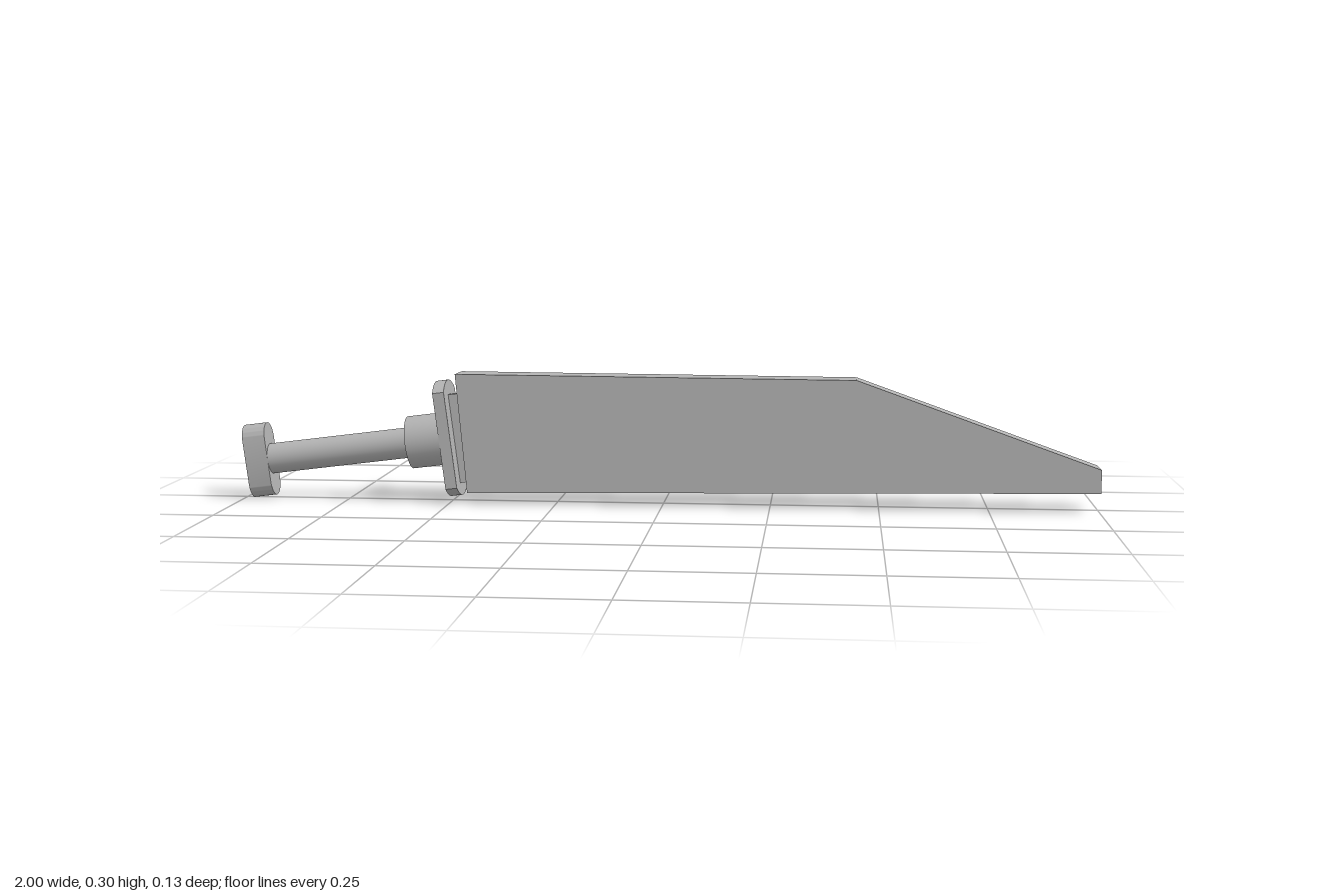
import * as THREE from 'three';
import { toCreasedNormals } from 'three/addons/utils/BufferGeometryUtils.js';

const steel = new THREE.MeshStandardMaterial({ color: 0xb4b4b4 });
steel.name = 'grey steel';

function addPart(parent, name, geometry) {
  const mesh = new THREE.Mesh(geometry, steel);
  mesh.name = name;
  parent.add(mesh);
  return mesh;
}

// Plate across the handle axis with straight sides and arched ends
function archedPlate(halfWidth, halfHeight, rise, x0, x1) {
  const r = (halfWidth ** 2 + rise ** 2) / (2 * rise);
  const a = Math.asin(Math.min(1, halfWidth / r));
  const cy = halfHeight - r;
  const shape = new THREE.Shape();
  shape.absarc(0, cy, r, Math.PI / 2 - a, Math.PI / 2 + a, false);
  shape.absarc(0, -cy, r, 1.5 * Math.PI - a, 1.5 * Math.PI + a, false);
  shape.closePath();
  const g = new THREE.ExtrudeGeometry(shape, { depth: x1 - x0, bevelEnabled: false, curveSegments: 20 });
  return toCreasedNormals(g.rotateY(Math.PI / 2).translate(x0, 0, 0), 0.5);
}

// Cylinder along the handle axis
function rod(radius, x0, x1) {
  return new THREE.CylinderGeometry(radius, radius, x1 - x0, 32)
    .rotateZ(-Math.PI / 2)
    .translate((x0 + x1) / 2, 0, 0);
}

export function createModel() {
  const model = new THREE.Group();
  model.name = 'broadBlade';
  const twist = -0.018;

  // Blade: flat slab with a sloping tip
  const outline = new THREE.Shape([
    [-0.457, 0.027], [1.0, 0.048], [1.0, 0.102], [0.446, 0.3], [-0.483, 0.305],
  ].map(([x, y]) => new THREE.Vector2(x, y)));
  const blade = addPart(model, 'blade',
    new THREE.ExtrudeGeometry(outline, { depth: 0.083, bevelEnabled: false }).translate(0, 0, -0.0415));
  blade.position.z = 0.01;
  blade.rotation.x = twist;

  // Handle: tilted slightly from the blade, origin at the guard
  const handle = new THREE.Group();
  handle.name = 'handle';
  handle.position.set(-0.506, 0.15, 0);
  handle.rotation.set(twist, 0, 0.127);
  model.add(handle);

  addPart(handle, 'guard', archedPlate(0.063, 0.137, 0.024, -0.0135, 0.0135));
  addPart(handle, 'bladeNeck', new THREE.BoxGeometry(0.04, 0.21, 0.03).translate(0.026, -0.002, 0.003));
  addPart(handle, 'collar', rod(0.062, -0.095, -0.01));
  addPart(handle, 'grip', rod(0.036, -0.46, -0.09));
  addPart(handle, 'pommel', archedPlate(0.036, 0.087, 0.036, -0.489, -0.435));

  return model;
}
